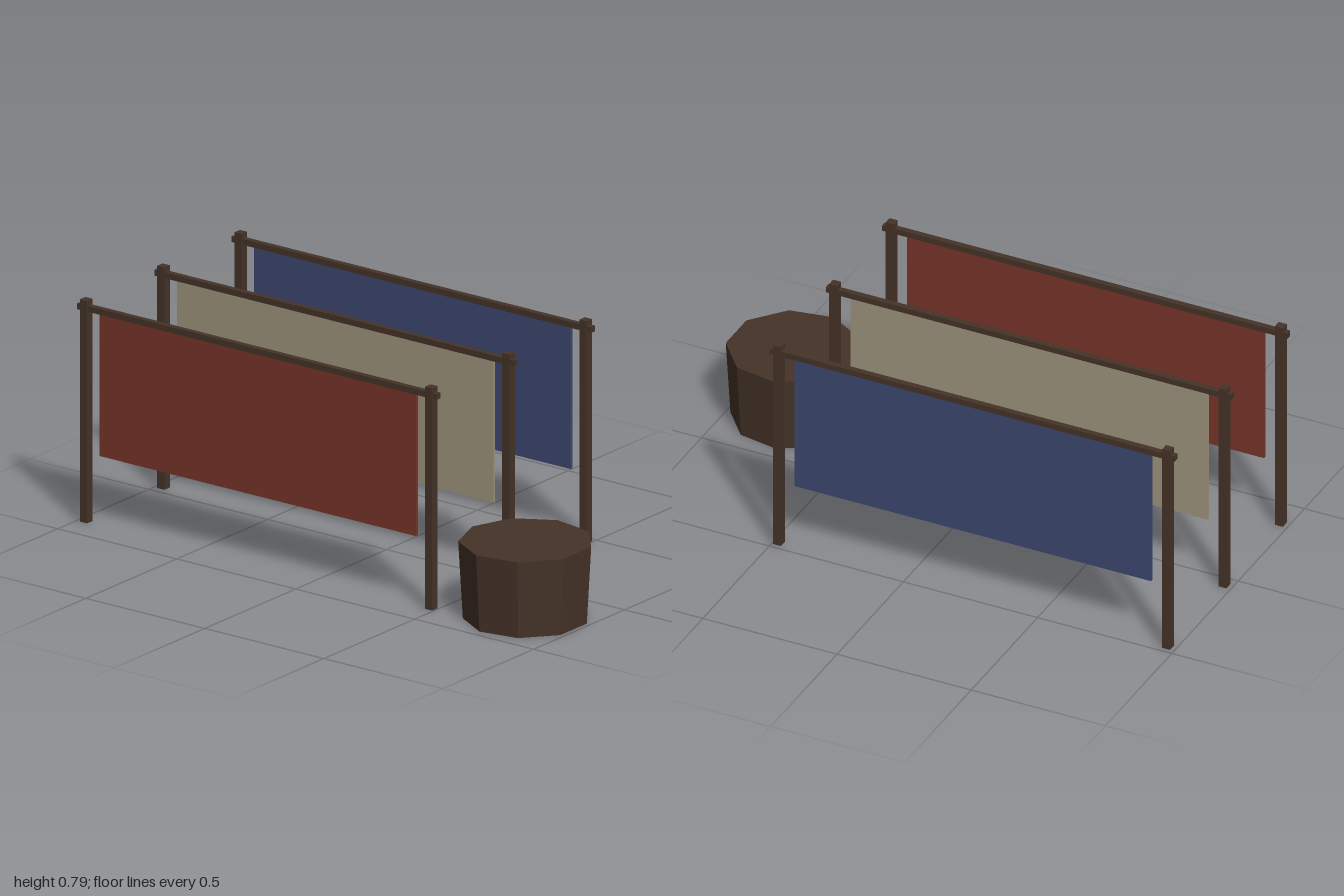
import * as THREE from 'three';

const mat = (name, color) => {
  const m = new THREE.MeshStandardMaterial({ color });
  m.name = name;
  return m;
};

export function createModel() {
  const wood = mat('dark wood', 0x453328);
  const red = mat('red cloth', 0x78352a);
  const beige = mat('beige cloth', 0xa0957d);
  const blue = mat('blue cloth', 0x3c4870);

  const model = new THREE.Group();
  model.name = 'dryingRacks';

  const box = (parent, name, material, size, pos) => {
    const mesh = new THREE.Mesh(new THREE.BoxGeometry(...size), material);
    mesh.name = name;
    mesh.position.set(...pos);
    parent.add(mesh);
  };

  // Three racks: two posts, a rail and a hanging cloth each
  const racks = [
    ['frontRack', 0.382, red],
    ['middleRack', -0.043, beige],
    ['backRack', -0.468, blue],
  ];
  for (const [name, z, cloth] of racks) {
    const rack = new THREE.Group();
    rack.name = name;
    rack.position.z = z;
    box(rack, 'rightPost', wood, [0.03, 0.787, 0.03], [-0.97, 0.3935, 0]);
    box(rack, 'leftPost', wood, [0.03, 0.787, 0.03], [0.48, 0.3935, 0]);
    box(rack, 'rail', wood, [1.51, 0.021, 0.021], [-0.245, 0.758, 0]);
    box(rack, 'cloth', cloth, [1.33, 0.5, 0.009], [-0.245, 0.495, 0]);
    model.add(rack);
  }

  // Nine-sided tapered vat with one corner towards -x
  const vatGeometry = new THREE.CylinderGeometry(0.2275, 0.212, 0.273, 9).toNonIndexed();
  vatGeometry.computeVertexNormals();
  const vat = new THREE.Mesh(vatGeometry, wood);
  vat.name = 'vat';
  vat.rotation.y = -Math.PI / 2;
  vat.position.set(0.785, 0.1365, 0.259);
  model.add(vat);

  return model;
}
